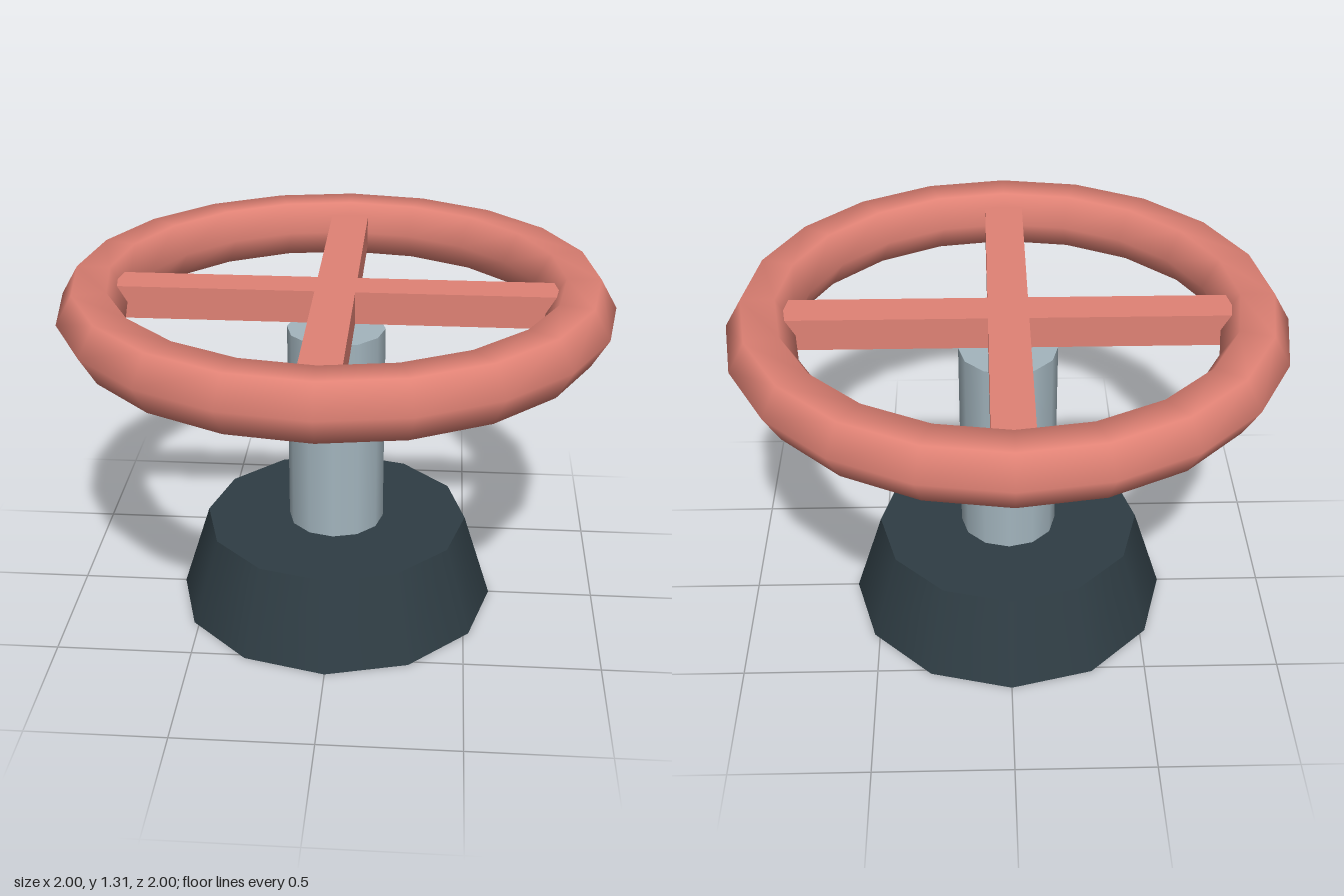
import * as THREE from 'three';

export function createModel() {
  const group = new THREE.Group();
  const material = (name, color) => {
    const m = new THREE.MeshStandardMaterial({ color });
    m.name = name;
    return m;
  };
  const red = material('red', 0xe08275);
  const steel = material('steel', 0xa3b5be);
  const dark = material('darkSlate', 0x2f3d44);

  const add = (name, geometry, mat, y) => {
    const mesh = new THREE.Mesh(geometry, mat);
    mesh.name = name;
    mesh.position.y = y;
    group.add(mesh);
    return mesh;
  };

  // Tapered twelve-sided foot and the shaft rising from it
  const baseHeight = 0.33;
  const shaftTop = 1.105;
  add('base', new THREE.CylinderGeometry(0.495, 0.6, baseHeight, 12), dark, baseHeight / 2);
  add('shaft', new THREE.CylinderGeometry(0.18, 0.18, shaftTop - baseHeight, 12), steel,
    (shaftTop + baseHeight) / 2);

  // Hand wheel: six-sided rim section, twenty segments round
  const wheelY = 1.21;
  const rim = new THREE.TorusGeometry(0.879, 0.121, 6, 20).rotateX(Math.PI / 2);
  add('wheelRim', rim, red, wheelY);

  // Four spokes meeting in the middle, their outer ends sunk into the rim
  const half = 0.0725;
  const length = 0.85 - half;
  for (let i = 0; i < 4; i++) {
    const spoke = new THREE.BoxGeometry(length, 0.12, half * 2);
    spoke.translate(half + length / 2, 0, 0);
    add('spoke', spoke, red, wheelY).rotation.y = i * Math.PI / 2;
  }
  add('spokeHub', new THREE.BoxGeometry(half * 2, 0.12, half * 2), red, wheelY);

  return group;
}
